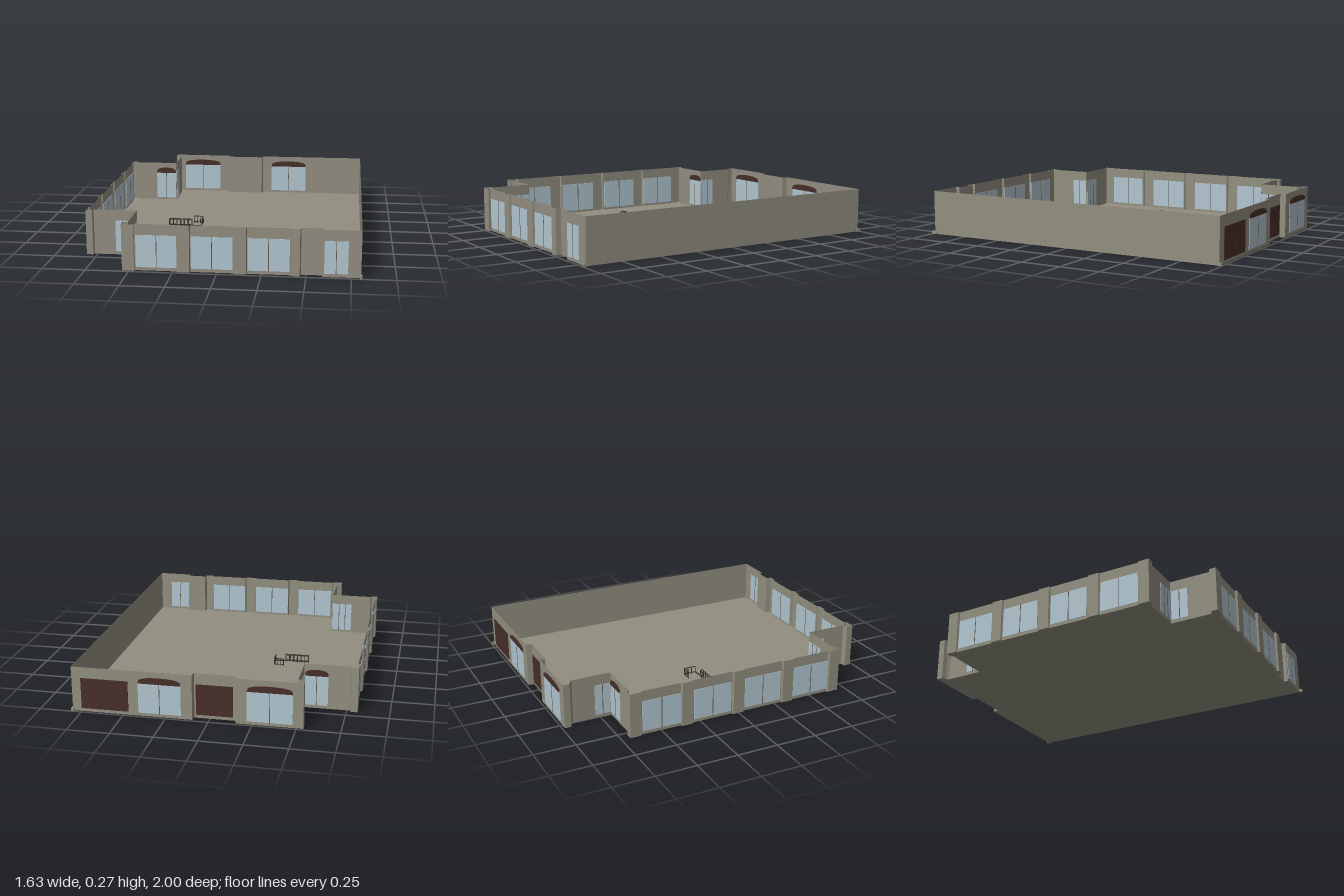
import * as THREE from 'three';

const H = 0.272;
const mat = (name, color, side = THREE.FrontSide) => {
  const m = new THREE.MeshStandardMaterial({ color, side });
  m.name = name;
  return m;
};

export function createModel() {
  const root = new THREE.Group();
  const stone = mat('stone', 0x928e80, THREE.DoubleSide);
  const glass = mat('glass', 0xb2c6d1);
  const brown = mat('dark brown', 0x482f29);
  const frame = mat('window frame', 0x665c50);
  const metal = mat('dark metal', 0x3a332b);

  const add = (parent, name, geo, m, x = 0, y = 0, z = 0) => {
    const mesh = new THREE.Mesh(geo, m);
    mesh.name = name;
    mesh.position.set(x, y, z);
    parent.add(mesh);
  };
  const box = (parent, name, m, w, h, d, x, y, z) =>
    add(parent, name, new THREE.BoxGeometry(w, h, d), m, x, y, z);

  // Plan outline [x, z], with pilasters stepping out of the front and left walls
  const plan = [[0.805, -0.985], [0.805, 0.98], [0.59, 0.98], [0.59, 0.953], [0.47, 0.953], [0.465, 0.985]];
  for (const x of [0.415, 0.095, -0.225]) {
    if (x < 0.4) plan.push([x + 0.07, 0.985]);
    plan.push([x, 0.985], [x - 0.005, 0.97], [x - 0.245, 0.97]);
  }
  plan.push([-0.47, 0.985], [-0.54, 0.985], [-0.54, 0.945], [-0.51, 0.935], [-0.51, 0.68],
    [-0.77, 0.68], [-0.775, 0.697]);
  for (const z of [0.663, 0.335, 0, -0.335, -0.663]) {
    if (z < 0.6) plan.push([-0.804, z + 0.04]);
    plan.push([-0.815, z + 0.034], [-0.815, z - 0.034]);
    if (z > -0.6) plan.push([-0.804, z - 0.04]);
  }
  plan.push([-0.775, -0.697], [-0.77, -0.68], [-0.5, -0.68], [-0.5, -0.92], [-0.515, -0.935],
    [-0.54, -0.945], [-0.54, -0.985], [-0.155, -0.985], [-0.15, -0.95], [0.09, -0.95], [0.095, -0.985]);

  // Floor slab
  const floorShape = new THREE.Shape(plan.map(([x, z]) => new THREE.Vector2(x, -z)));
  const floorGeo = new THREE.ExtrudeGeometry(floorShape, { depth: 0.006, bevelEnabled: false });
  add(root, 'floor', floorGeo.rotateX(-Math.PI / 2), stone);

  // Thin wall shell standing on the plan outline
  const verts = [];
  plan.forEach(([x0, z0], i) => {
    const [x1, z1] = plan[(i + 1) % plan.length];
    const b = 0.006;
    verts.push(x0, b, z0, x0, H, z0, x1, H, z1, x0, b, z0, x1, H, z1, x1, b, z1);
  });
  const wallGeo = new THREE.BufferGeometry();
  wallGeo.setAttribute('position', new THREE.Float32BufferAttribute(verts, 3));
  wallGeo.computeVertexNormals();
  add(root, 'walls', wallGeo, stone);

  // Base stubs at both ends of the plain side wall
  for (const s of [-1, 1]) box(root, 'baseStub', stone, 0.015, 0.018, 0.03, 0.805, 0.009, s * 0.985);

  // Window set into a wall; along = 'x' or 'z' is the direction of the wall
  const addWindow = (name, along, from, to, at, panes, arched = false) => {
    const g = new THREE.Group();
    g.name = name;
    const w = to - from, mid = (from + to) / 2, y0 = 0.02, y1 = 0.208;
    box(g, 'pane', glass, w, y1 - y0, 0.006, 0, (y0 + y1) / 2, 0);
    for (let i = 1; i < panes; i++)
      box(g, 'mullion', frame, 0.004, y1 - y0, 0.009, -w / 2 + (w * i) / panes, (y0 + y1) / 2, 0);
    if (arched) {
      const h = w / 2, s = new THREE.Shape();
      s.moveTo(-h, 0.2);
      s.lineTo(h, 0.2);
      for (let i = 0; i <= 10; i++) {
        const a = (Math.PI * i) / 10;
        s.lineTo(h * Math.cos(a), 0.205 + 0.033 * Math.pow(Math.sin(a) + 1e-6, 0.6));
      }
      const geo = new THREE.ExtrudeGeometry(s, { depth: 0.0096, bevelEnabled: false });
      add(g, 'archHead', geo, brown, 0, 0, -0.0048);
    }
    if (along === 'x') g.position.set(mid, 0, at);
    else {
      g.position.set(at, 0, mid);
      g.rotation.y = Math.PI / 2;
    }
    root.add(g);
  };

  // Front windows
  for (const x of [-0.462, -0.148, 0.172]) addWindow('frontWindow', 'x', x, x + 0.236, 0.97, 2);
  addWindow('frontSmallWindow', 'x', 0.6, 0.732, 0.98, 2);
  // Side windows
  for (const z of [-0.618, -0.29, 0.045, 0.38]) addWindow('sideWindow', 'z', z, z + 0.243, -0.804, 2);
  // Corner windows in the two notches
  addWindow('frontNotchWindow', 'x', -0.64, -0.512, 0.68, 3);
  addWindow('frontNotchSideWindow', 'z', 0.685, 0.79, -0.51, 2);
  addWindow('backNotchWindow', 'x', -0.64, -0.504, -0.68, 2, true);
  addWindow('backNotchSideWindow', 'z', -0.78, -0.684, -0.5, 2);
  // Back arched windows and closed panels
  addWindow('backWindow', 'x', 0.16, 0.41, -0.985, 2, true);
  addWindow('backWindow', 'x', -0.48, -0.22, -0.985, 2, true);
  for (const [x0, x1, z] of [[0.47, 0.75, -0.9875], [-0.135, 0.08, -0.9525]]) {
    box(root, 'backPanel', brown, x1 - x0, 0.185, 0.004, (x0 + x1) / 2, 0.113, z);
    box(root, 'panelJoint', metal, 0.003, 0.185, 0.0045, (x0 + x1) / 2, 0.113, z - 0.0005);
  }

  // Stair railing on the floor
  const railing = new THREE.Group();
  railing.name = 'railing';
  root.add(railing);
  const railRun = (x0, z0, x1, z1, posts) => {
    const len = Math.hypot(x1 - x0, z1 - z0);
    for (const y of [0.014, 0.052]) {
      const geo = new THREE.BoxGeometry(len, 0.004, 0.003).rotateY(-Math.atan2(z1 - z0, x1 - x0));
      add(railing, 'rail', geo, metal, (x0 + x1) / 2, y, (z0 + z1) / 2);
    }
    for (let i = 0; i <= posts; i++) {
      const t = i / posts;
      box(railing, 'post', metal, 0.004, 0.046, 0.004, x0 + (x1 - x0) * t, 0.029, z0 + (z1 - z0) * t);
    }
  };
  railRun(-0.43, 0.035, -0.28, 0.035, 6);
  railRun(-0.43, 0.02, -0.29, 0.02, 6);
  railRun(-0.22, 0.02, -0.22, -0.057, 3);
  railRun(-0.22, -0.057, -0.28, -0.057, 3);
  box(railing, 'lowRail', metal, 0.06, 0.008, 0.003, -0.25, 0.01, 0.025);

  return root;
}
